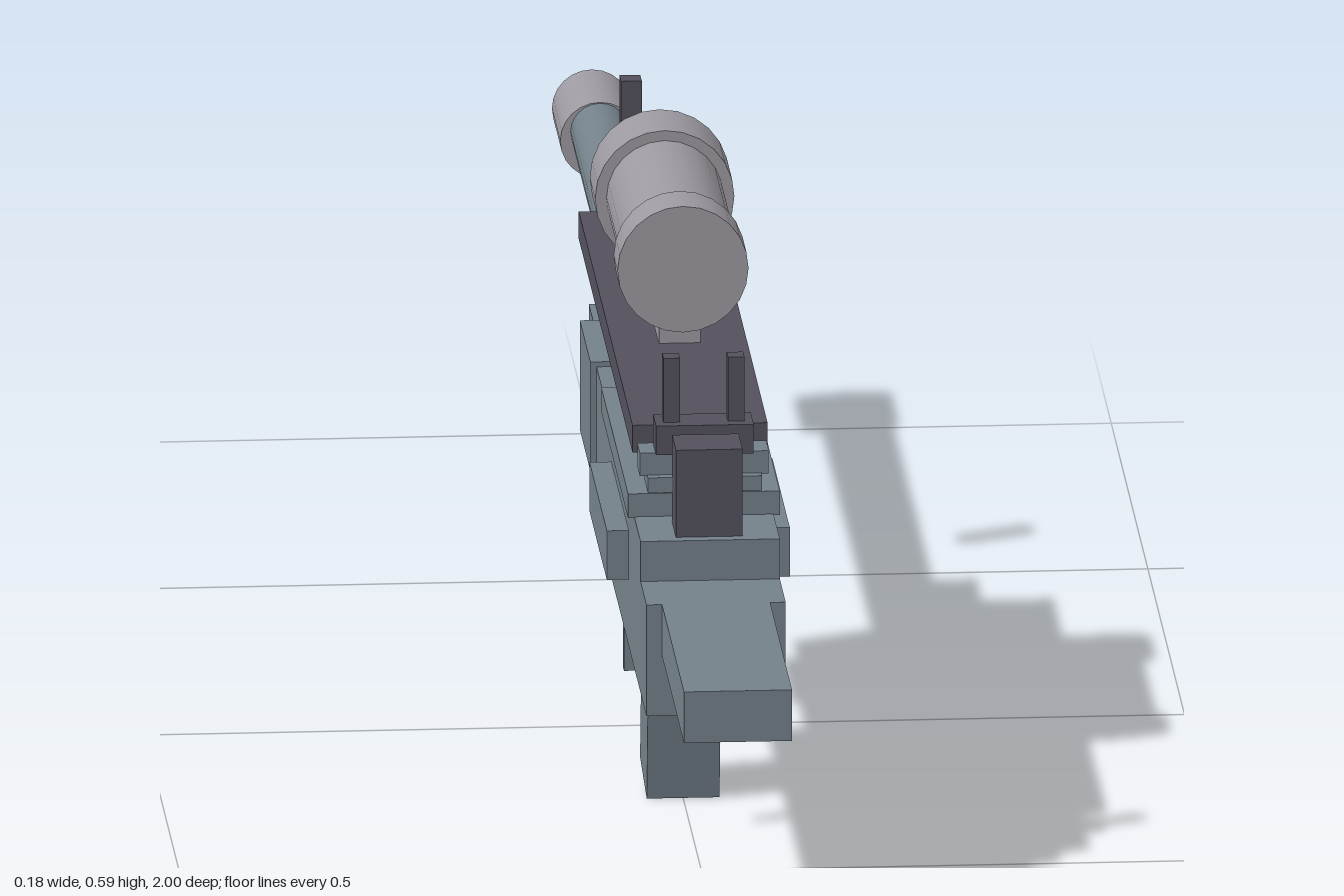
import * as THREE from 'three';

const slate = new THREE.MeshStandardMaterial({ color: 0x74818a });
const dark = new THREE.MeshStandardMaterial({ color: 0x54515d });
const pale = new THREE.MeshStandardMaterial({ color: 0x9d99a1 });

export function createModel() {
  const model = new THREE.Group();

  // Box given by its ranges in x, y and z
  function box(name, mat, [x0, x1], [y0, y1], [z0, z1]) {
    const mesh = new THREE.Mesh(new THREE.BoxGeometry(x1 - x0, y1 - y0, z1 - z0), mat);
    mesh.position.set((x0 + x1) / 2, (y0 + y1) / 2, (z0 + z1) / 2);
    mesh.name = name;
    model.add(mesh);
    return mesh;
  }
  // Box centred on x = 0
  const mid = (name, mat, half, y, z) => box(name, mat, [-half, half], y, z);
  // Mirrored pair of boxes
  function pair(name, mat, [x0, x1], y, z) {
    box(name + 'Left', mat, [x0, x1], y, z);
    box(name + 'Right', mat, [-x1, -x0], y, z);
  }
  // Cylinder along z
  function tube(name, mat, radius, y, [z0, z1]) {
    const geo = new THREE.CylinderGeometry(radius, radius, z1 - z0, 24).rotateX(Math.PI / 2);
    const mesh = new THREE.Mesh(geo, mat);
    mesh.position.set(0, y, (z0 + z1) / 2);
    mesh.name = name;
    model.add(mesh);
  }

  // Stock and receiver
  mid('stock', slate, 0.052, [0.274, 0.325], [0.66, 1]);
  mid('lowerReceiver', slate, 0.067, [0.214, 0.325], [0.107, 0.7]);
  mid('upperReceiver', slate, 0.067, [0.262, 0.365], [-0.12, 0.62]);
  mid('foreReceiver', slate, 0.073, [0.261, 0.37], [-0.123, 0.02]);
  mid('barrelBlock', slate, 0.06, [0.266, 0.368], [-0.185, -0.1]);
  mid('coverPlate', slate, 0.073, [0.364, 0.388], [0.17, 0.535]);
  pair('sidePanel', slate, [0.06, 0.088], [0.28, 0.329], [0.222, 0.458]);
  pair('underPeg', slate, [0.054, 0.067], [0.17, 0.216], [0.38, 0.394]);

  // Slanted grip
  const grip = mid('grip', slate, 0.035, [-0.118, 0.118], [-0.046, 0.046]);
  grip.position.set(0, 0.124, 0.225);
  grip.rotation.x = 0.165;

  // Barrel
  tube('barrel', slate, 0.028, 0.335, [-0.89, -0.18]);
  tube('muzzle', pale, 0.038, 0.326, [-1, -0.887]);
  mid('gasBar', pale, 0.02, [0.365, 0.41], [-0.336, -0.14]);

  // Top rail and the layers under it
  mid('railSpacer', slate, 0.055, [0.393, 0.408], [-0.12, 0.55]);
  mid('rail', dark, 0.065, [0.414, 0.441], [-0.252, 0.482]);
  mid('sightPlinth', slate, 0.062, [0.407, 0.43], [0.505, 0.54]);

  // Sights
  mid('rearBlock', dark, 0.032, [0.364, 0.452], [0.555, 0.608]);
  mid('rearSightBase', dark, 0.047, [0.43, 0.459], [0.508, 0.548]);
  pair('rearSightPost', dark, [0.023, 0.039], [0.455, 0.523], [0.518, 0.536]);
  mid('frontSight', dark, 0.01, [0.436, 0.511], [-0.476, -0.455]);

  // Scope
  mid('scopeMount', pale, 0.02, [0.44, 0.485], [0.036, 0.204]);
  tube('scopeTube', pale, 0.056, 0.528, [-0.01, 0.21]);
  tube('scopeEyepiece', pale, 0.063, 0.528, [0.197, 0.25]);
  tube('scopeObjective', pale, 0.067, 0.527, [-0.073, 0]);

  return model;
}
